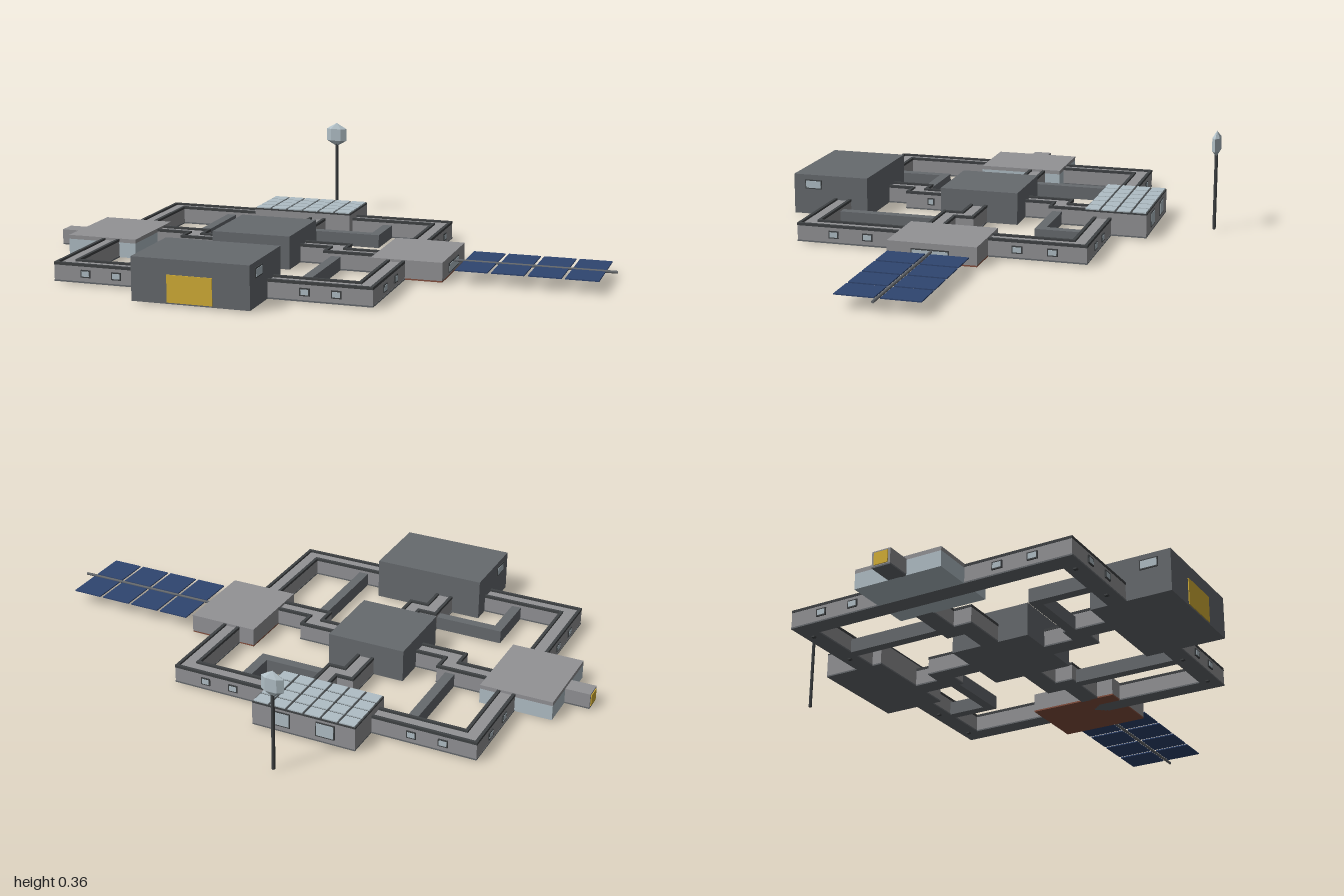
import * as THREE from 'three';
import { mergeGeometries } from 'three/addons/utils/BufferGeometryUtils.js';

const paint = (name, color) => Object.assign(new THREE.MeshStandardMaterial({ color }), { name });

export function createModel() {
  const hull = paint('light grey hull', 0x929295);
  const dark = paint('dark grey plating', 0x666a6e);
  const trim = paint('charcoal trim', 0x3f4244);
  const glass = paint('pale glass', 0xb0bec5);
  const yellow = paint('yellow door', 0xd4af37);
  const solar = paint('solar blue', 0x2f4570);
  const rust = paint('rust floor', 0x85503f);

  const model = new THREE.Group();
  model.name = 'outpost';

  function add(name, geometry, material, parent = model) {
    const mesh = new THREE.Mesh(geometry, material);
    mesh.name = name;
    parent.add(mesh);
    return mesh;
  }
  // Box given by its limits on each axis
  function boxGeo(x0, x1, y0, y1, z0, z1) {
    return new THREE.BoxGeometry(x1 - x0, y1 - y0, z1 - z0)
      .translate((x0 + x1) / 2, (y0 + y1) / 2, (z0 + z1) / 2);
  }
  const box = (name, mat, ...limits) => add(name, boxGeo(...limits), mat);

  // Right-angled strip following a floor path between two sideways offsets
  function strip(path, closed, o0, o1, y0, y1) {
    const n = path.length;
    const normal = (i) => {
      const a = path[(i + n) % n], b = path[(i + 1) % n];
      const dx = b[0] - a[0], dz = b[1] - a[1], l = Math.hypot(dx, dz);
      return [-dz / l, dx / l];
    };
    const corner = (i, off) => {
      const k = i % n;
      const first = !closed && k === 0, last = !closed && k === n - 1;
      const a = first ? [0, 0] : normal(k - 1), b = last ? [0, 0] : normal(k);
      return new THREE.Vector2(path[k][0] + (a[0] + b[0]) * off, -path[k][1] - (a[1] + b[1]) * off);
    };
    const parts = [];
    for (let i = 0; i < (closed ? n : n - 1); i++) {
      const quad = new THREE.Shape([corner(i, o0), corner(i + 1, o0), corner(i + 1, o1), corner(i, o1)]);
      parts.push(new THREE.ExtrudeGeometry(quad, { depth: y1 - y0, bevelEnabled: false })
        .rotateX(-Math.PI / 2).translate(0, y0, 0));
    }
    return mergeGeometries(parts);
  }

  // Wide corridors: dark floor, light walls and roof, dark rails along the roof edges
  const W = 0.032;
  function corridor(name, path, closed = false) {
    const g = new THREE.Group();
    g.name = name;
    model.add(g);
    add('corridorFloor', strip(path, closed, -W, W, 0.005, 0.01), dark, g);
    add('corridorBody', strip(path, closed, -W + 0.001, W - 0.001, 0.01, 0.063), hull, g);
    add('roofRailA', strip(path, closed, -W, -W + 0.011, 0.061, 0.07), trim, g);
    add('roofRailB', strip(path, closed, W - 0.011, W, 0.061, 0.07), trim, g);
  }
  const ring = { x0: -0.748, x1: 0.288, z0: -0.385, z1: 0.568 };
  corridor('ringCorridor', [[ring.x0, ring.z0], [ring.x1, ring.z0], [ring.x1, ring.z1], [ring.x0, ring.z1]], true);
  corridor('rightCorridor', [[-0.66, 0.01], [-0.505, 0.01], [-0.505, 0.075], [-0.365, 0.075]]);
  corridor('leftCorridor', [[-0.095, 0.075], [0.047, 0.075], [0.047, 0.14], [0.205, 0.14]]);
  corridor('backCorridor', [[-0.17, -0.325], [-0.17, -0.2], [-0.23, -0.2], [-0.23, -0.06]]);
  corridor('frontCorridor', [[-0.23, 0.215], [-0.23, 0.355], [-0.295, 0.355], [-0.295, 0.48]]);

  // Narrow service passages
  [
    [[-0.523, -0.36], [-0.523, -0.015]],
    [[0.09, -0.36], [0.09, -0.2], [-0.145, -0.2]],
    [[0.06, 0.165], [0.06, 0.54]],
    [[-0.553, 0.54], [-0.553, 0.35], [-0.32, 0.35]],
  ].forEach((p) => add('servicePassage', strip(p, false, -0.017, 0.017, 0.005, 0.052), dark));

  // Small feet under the ring
  for (const z of [ring.z0, ring.z1]) for (const x of [-0.7, -0.5, 0.05, 0.25]) {
    box('foot', trim, x - 0.006, x + 0.006, 0, 0.006, z - 0.006, z + 0.006);
  }

  // Framed window on a wall; angle turns its face (0 = +z, half pi = +x)
  function window_(x, y, z, w, h, angle) {
    const g = new THREE.Group();
    g.name = 'window';
    add('windowFrame', new THREE.BoxGeometry(w + 0.008, h + 0.008, 0.006), trim, g);
    add('windowPane', new THREE.BoxGeometry(w, h, 0.008), glass, g);
    g.position.set(x, y, z);
    g.rotation.y = angle;
    model.add(g);
  }
  const Q = Math.PI / 2;
  for (const x of [-0.665, -0.555, 0.095, 0.2]) {
    window_(x, 0.037, ring.z1 + W, 0.026, 0.018, 0);
    window_(x, 0.037, ring.z0 - W, 0.026, 0.018, 2 * Q);
  }
  for (const z of [0.467, 0.345, -0.18, -0.3]) {
    window_(ring.x1 + W, 0.037, z, 0.028, 0.018, Q);
    window_(ring.x0 - W, 0.037, z, 0.028, 0.018, -Q);
  }
  window_(-0.198, 0.037, 0.29, 0.018, 0.018, Q);

  // Hangar at the front
  box('hangar', dark, -0.43, -0.03, 0.005, 0.15, 0.475, 0.755);
  box('hangarDoor', yellow, -0.308, -0.155, 0.01, 0.1, 0.752, 0.758);
  window_(-0.03, 0.115, 0.68, 0.056, 0.026, Q);
  window_(-0.43, 0.115, 0.68, 0.056, 0.026, -Q);

  // Central command block
  box('commandBlock', dark, -0.37, -0.09, 0.005, 0.12, -0.067, 0.217);

  // Greenhouse at the back with a paned roof
  box('greenhouseFloor', dark, -0.415, -0.045, 0.005, 0.01, -0.54, -0.32);
  box('greenhouseWalls', hull, -0.415, -0.045, 0.01, 0.086, -0.54, -0.32);
  box('greenhouseRoofFrame', trim, -0.415, -0.045, 0.086, 0.091, -0.54, -0.32);
  const pw = 0.37 / 6, pd = 0.22 / 4;
  for (let i = 0; i < 6; i++) for (let j = 0; j < 4; j++) {
    const x = -0.415 + i * pw, z = -0.54 + j * pd;
    box('roofPane', glass, x + 0.004, x + pw - 0.004, 0.09, 0.095, z + 0.004, z + pd - 0.004);
  }
  for (const x of [-0.15, -0.31]) window_(x, 0.052, -0.54, 0.06, 0.045, 2 * Q);

  // Glass-walled module with an airlock on the right
  box('glassModule', glass, -0.91, -0.655, 0.005, 0.058, -0.08, 0.23);
  box('glassModuleRoof', hull, -0.91, -0.655, 0.058, 0.072, -0.08, 0.23);
  box('airlock', hull, -0.997, -0.905, 0.01, 0.06, 0.043, 0.108);
  box('airlockFloor', dark, -0.997, -0.905, 0.005, 0.01, 0.043, 0.108);
  box('airlockDoor', yellow, -1, -0.994, 0.013, 0.054, 0.051, 0.1);

  // Power module on the left
  box('powerModuleFloor', rust, 0.2, 0.447, 0.005, 0.01, -0.08, 0.23);
  box('powerModule', hull, 0.2, 0.447, 0.01, 0.072, -0.08, 0.23);
  window_(0.447, 0.035, 0.08, 0.124, 0.026, Q);

  // Solar wing: a mast with four pairs of panels
  add('solarMast', new THREE.CylinderGeometry(0.005, 0.005, 0.555, 6)
    .rotateZ(Q).translate(0.7225, 0.046, 0.075), dark);
  for (let i = 0; i < 4; i++) {
    const x = 0.485 + i * 0.122;
    box('solarPanel', solar, x, x + 0.11, 0.044, 0.048, -0.065, 0.065);
    box('solarPanel', solar, x, x + 0.11, 0.044, 0.048, 0.085, 0.215);
  }

  // Antenna with a faceted dish
  add('antennaPole', new THREE.CylinderGeometry(0.006, 0.006, 0.29, 6)
    .translate(-0.232, 0.15, -0.745), trim);
  const dish = new THREE.SphereGeometry(0.046, 6, 3).toNonIndexed();
  dish.scale(1, 1, 0.38);
  dish.computeVertexNormals();
  add('antennaDish', dish, glass).position.set(-0.232, 0.312, -0.745);

  return model;
}
